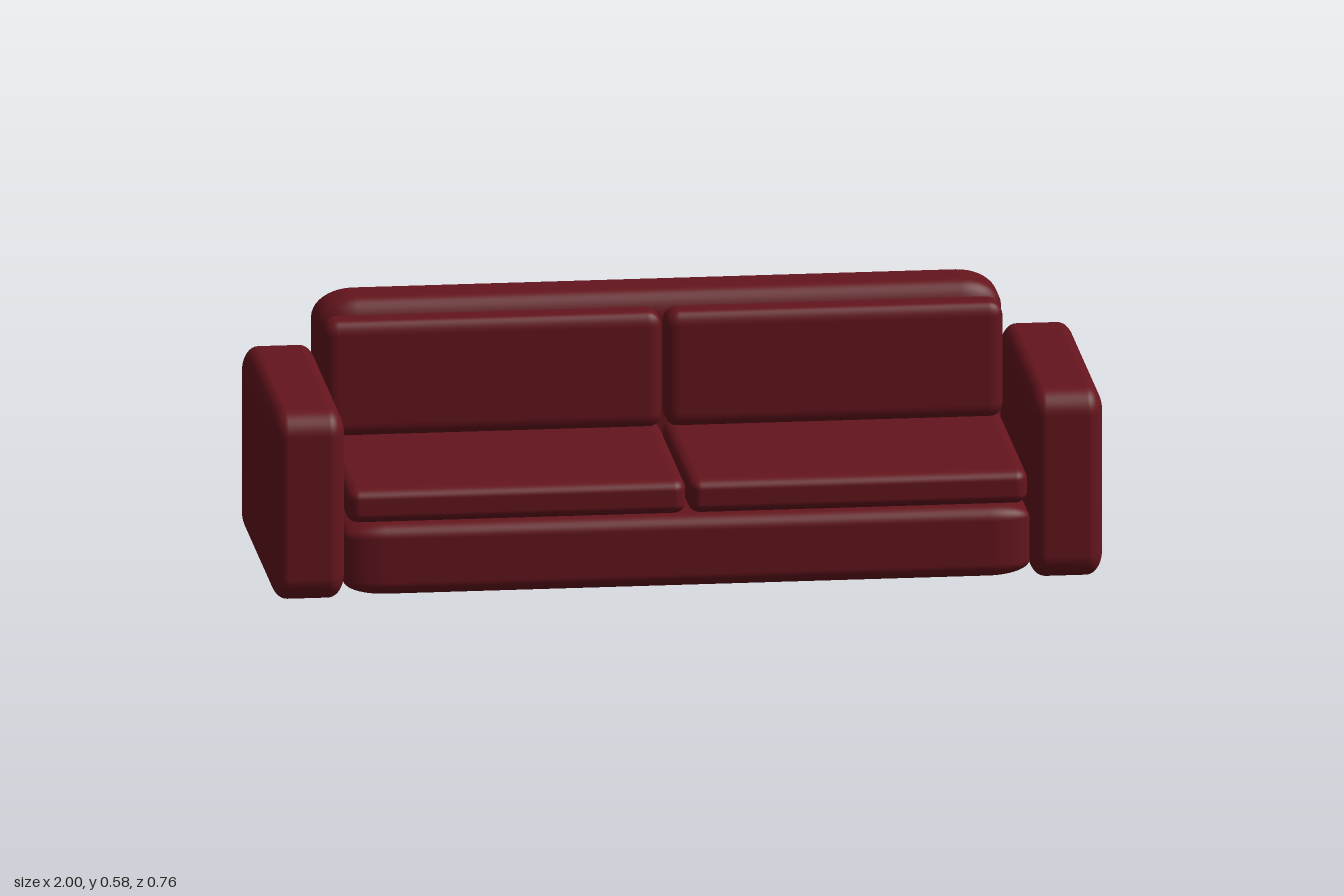
import * as THREE from 'three';
import { RoundedBoxGeometry } from 'three/addons/geometries/RoundedBoxGeometry.js';

const leather = new THREE.MeshStandardMaterial({ color: 0x65151d });

// Padded block spanning min..max, with its own edge radius along each axis
function pad(name, min, max, radii) {
  const size = max.map((v, i) => v - min[i]);
  const [w, h, d] = size.map((s, i) => s / radii[i]);
  const geometry = new RoundedBoxGeometry(w, h, d, 6, 1);
  geometry.scale(...radii);
  const mesh = new THREE.Mesh(geometry, leather);
  mesh.name = name;
  mesh.position.set(...min.map((v, i) => v + size[i] / 2));
  return mesh;
}

export function createModel() {
  const sofa = new THREE.Group();
  sofa.name = 'sofa';

  // Full-width base and backrest
  sofa.add(pad('base', [-0.825, 0.008, -0.25], [0.825, 0.185, 0.372], [0.1, 0.035, 0.04]));
  sofa.add(pad('backrest', [-0.825, 0.004, -0.38], [0.825, 0.584, -0.214], [0.1, 0.07, 0.045]));

  // Arm, seat cushion and back cushion on each side
  for (const side of [1, -1]) {
    const place = (name, x0, x1, [y0, z0], [y1, z1], radii) => {
      const xs = [x0 * side, x1 * side].sort((a, b) => a - b);
      sofa.add(pad((side > 0 ? 'left' : 'right') + name, [xs[0], y0, z0], [xs[1], y1, z1], radii));
    };
    place('Arm', 0.822, 1, [0, -0.31], [0.468, 0.38], [0.04, 0.06, 0.06]);
    place('SeatCushion', 0.003, 0.818, [0.187, -0.215], [0.272, 0.368], [0.03, 0.025, 0.035]);
    place('BackCushion', 0.004, 0.816, [0.268, -0.218], [0.553, -0.132], [0.035, 0.035, 0.022]);
  }
  return sofa;
}
